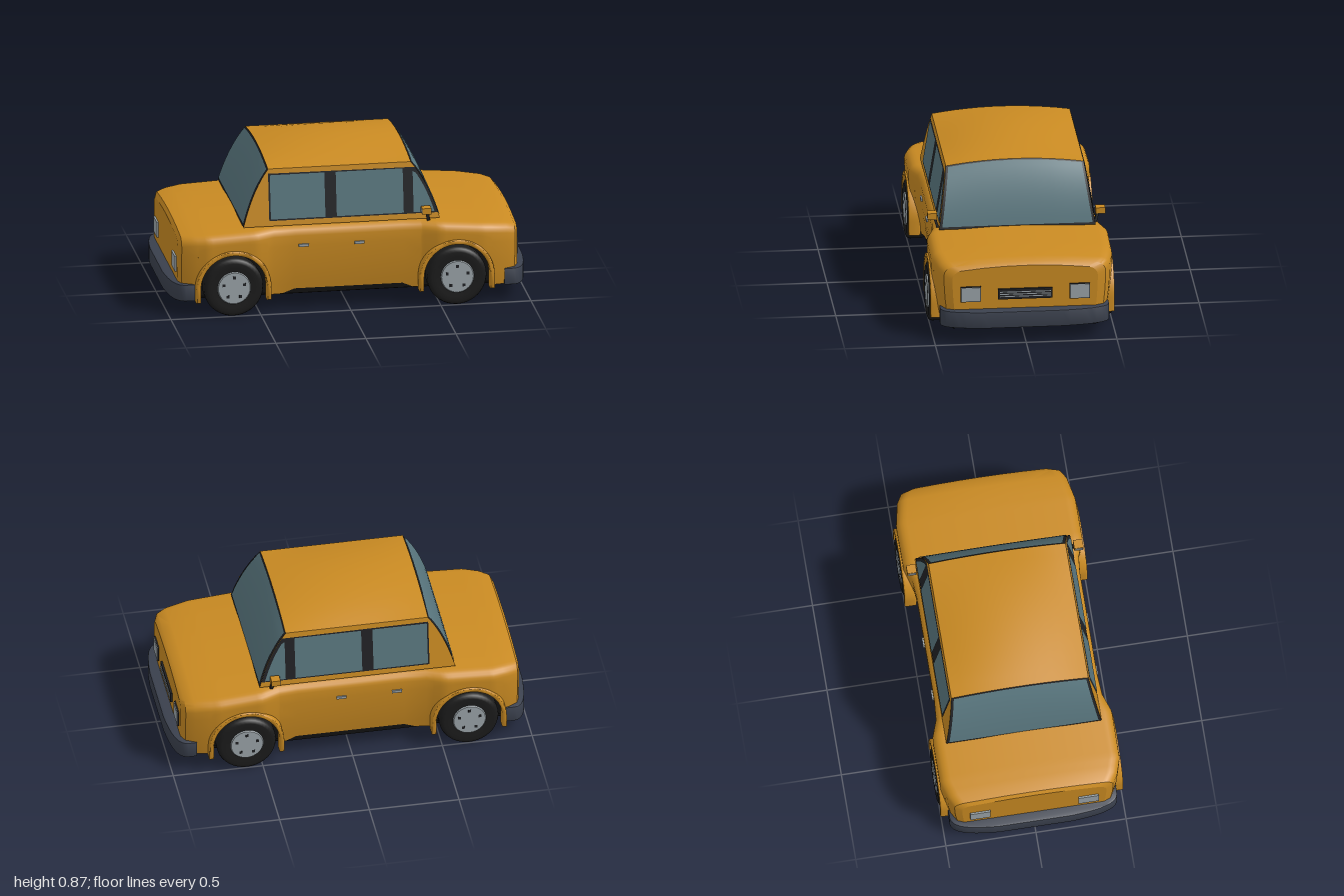
import * as THREE from 'three';
import { toCreasedNormals } from 'three/addons/utils/BufferGeometryUtils.js';

const mat = (name, color, side = THREE.FrontSide) => {
  const m = new THREE.MeshStandardMaterial({ color, side });
  m.name = name;
  return m;
};
const paint = mat('paint', 0xc98a22, THREE.DoubleSide);
const glass = mat('glass', 0x58757d, THREE.DoubleSide);
const trim = mat('trim', 0x202124, THREE.DoubleSide);
const rubber = mat('rubber', 0x1b1b1b);
const under = mat('underside', 0x101010);
const bumperGrey = mat('bumperGrey', 0x3b414e);
const silver = mat('silver', 0x9aa3a8);

const lerp = THREE.MathUtils.lerp;
const WHEELS = [-0.65, 0.59], HUB_Y = 0.165, ARCH = 0.195, FLOOR = 0.09;

// Surface through the points f(i, j)
function grid(f, ni, nj, crease = 0.6) {
  const pos = [], idx = [];
  for (let i = 0; i <= ni; i++) for (let j = 0; j <= nj; j++) pos.push(...f(i, j));
  for (let i = 0; i < ni; i++) for (let j = 0; j < nj; j++) {
    const a = i * (nj + 1) + j, b = a + nj + 1;
    idx.push(a, b, a + 1, b, b + 1, a + 1);
  }
  const g = new THREE.BufferGeometry();
  g.setAttribute('position', new THREE.Float32BufferAttribute(pos, 3));
  g.setIndex(idx);
  return toCreasedNormals(g, crease);
}

// Body stations: x, half width, top height
const STATIONS = [
  [-0.945, 0.40, 0.445], [-0.93, 0.44, 0.465], [-0.88, 0.47, 0.475], [-0.79, 0.498, 0.482],
  [-0.52, 0.498, 0.495], [-0.42, 0.462, 0.5], [-0.3, 0.453, 0.5], [0.3, 0.453, 0.5],
  [0.4, 0.462, 0.5], [0.5, 0.498, 0.495], [0.74, 0.498, 0.475], [0.87, 0.472, 0.46],
  [0.92, 0.445, 0.448], [0.94, 0.40, 0.43]];

function station(x) {
  let k = 0;
  while (k < STATIONS.length - 2 && x > STATIONS[k + 1][0]) k++;
  const [a, b] = [STATIONS[k], STATIONS[k + 1]];
  const t = (x - a[0]) / (b[0] - a[0]);
  return [lerp(a[1], b[1], t), lerp(a[2], b[2], t)];
}

// Half cross-section from the sill up to the centre line
function halfSection(x, bottom) {
  const [w, top] = station(x), sh = top - 0.07, pts = [];
  for (let k = 0; k <= 6; k++) {
    const y = lerp(bottom, sh, k / 6);
    pts.push([x, y, w - 0.03 * ((sh - y) / 0.3) ** 2]);
  }
  for (let k = 1; k <= 5; k++) {
    const a = k / 5 * Math.PI / 2;
    pts.push([x, sh + 0.05 * Math.sin(a), w - 0.06 * (1 - Math.cos(a))]);
  }
  for (const t of [0.66, 0.33, 0]) pts.push([x, top - 0.02 * t * t, (w - 0.06) * t]);
  return pts;
}

// Cabin: side wall lean and end curves (x, y)
const wall = y => lerp(0.43, 0.38, (y - 0.49) / 0.31);
const endCurve = (x0, xc, x1) => new THREE.QuadraticBezierCurve(
  new THREE.Vector2(x0, 0.485), new THREE.Vector2(xc, 0.70), new THREE.Vector2(x1, 0.83));
const FRONT = endCurve(0.505, 0.45, 0.35), REAR = endCurve(-0.585, -0.53, -0.44);
const edge = (c, s, u = 1) => {
  const p = c.getPoint(s);
  return [p.x, p.y - 0.03 * u * u * s];
};
// Cabin edge points between two heights, upwards
function edgeBetween(c, y0, y1, dx = 0) {
  const out = [];
  for (let s = 0; s <= 1.001; s += 0.02) {
    const [x, y] = edge(c, Math.min(s, 1));
    if (y >= y0 && y <= y1) out.push([x + dx, y]);
  }
  return out;
}
function leaningPanel(points, side, off) {
  const g = new THREE.ShapeGeometry(new THREE.Shape(points.map(p => new THREE.Vector2(...p))));
  const p = g.attributes.position;
  for (let i = 0; i < p.count; i++) p.setZ(i, side * (wall(p.getY(i)) + off));
  g.computeVertexNormals();
  return g;
}

export function createModel() {
  const car = new THREE.Group();
  car.name = 'car';
  const add = (name, geo, m, x = 0, y = 0, z = 0, parent = car) => {
    const mesh = new THREE.Mesh(geo, m);
    mesh.name = name;
    mesh.position.set(x, y, z);
    parent.add(mesh);
    return mesh;
  };
  const box = (name, m, sx, sy, sz, x, y, z, parent) =>
    add(name, new THREE.BoxGeometry(sx, sy, sz), m, x, y, z, parent);

  // Lower body, lofted along x with the wheel arches cut into its lower edge
  const cuts = STATIONS.map(s => [s[0], FLOOR]).filter(([x]) => WHEELS.every(c => Math.abs(x - c) > ARCH));
  for (const c of WHEELS) {
    cuts.push([c - ARCH, FLOOR]);
    for (let k = 0; k <= 20; k++) {
      const a = Math.PI * (1 - k / 20);
      cuts.push([c + ARCH * Math.cos(a), HUB_Y + ARCH * Math.sin(a)]);
    }
    cuts.push([c + ARCH, FLOOR]);
  }
  cuts.sort((a, b) => a[0] - b[0] || 0);
  const loops = cuts.map(([x, b]) => {
    const h = halfSection(x, b);
    return [...h, ...h.slice(0, -1).reverse().map(([px, y, z]) => [px, y, -z])];
  });
  add('body', grid((i, j) => loops[i][j], loops.length - 1, loops[0].length - 1), paint);
  for (const [name, x] of [['tailPanel', -0.945], ['nosePanel', 0.94]]) {
    const h = halfSection(x, FLOOR);
    add(name, grid((i, j) => [x, h[i][1], h[i][2] * (j ? -1 : 1)], h.length - 1, 1), paint);
  }

  // Underside with wheel wells
  const well = new THREE.Shape();
  well.moveTo(-0.88, FLOOR);
  for (const c of WHEELS) {
    well.lineTo(c - ARCH, FLOOR);
    well.absarc(c, HUB_Y, ARCH, Math.PI, 0, true);
    well.lineTo(c + ARCH, FLOOR);
  }
  well.lineTo(0.88, FLOOR).lineTo(0.88, 0.4).lineTo(-0.88, 0.4);
  add('wheelWells', new THREE.ExtrudeGeometry(well, { depth: 0.84, bevelEnabled: false, curveSegments: 20 }), under, 0, 0, -0.42);
  box('floorPan', under, 1.86, 0.2, 0.77, 0, 0.187, 0);

  // Cabin ends: dark frame with a glass pane
  for (const [name, c, d] of [['windscreen', FRONT, 1], ['rearWindow', REAR, -1]]) {
    const pane = (u0, s0, s1, off) => grid((i, j) => {
      const s = lerp(s0, s1, i / 10), u = j / 4 - 1;
      const [x, y] = edge(c, s, u);
      return [x + d * off, y + off * 0.5, u * u0 * wall(y)];
    }, 10, 8);
    add(name + 'Frame', pane(1, 0, 1, 0), trim);
    add(name, pane(0.965, 0.03, 0.975, 0.004), glass);
  }
  // Crowned roof
  add('roof', grid((i, j) => {
    const x = lerp(-0.442, 0.352, i / 12), u = j / 6 - 1;
    const mid = 0.83 + 0.035 * (1 - (i / 6 - 1) ** 2);
    return [x, lerp(mid, 0.8, u * u), u * wall(0.8)];
  }, 12, 12), paint);

  const lip = new THREE.Shape();
  lip.moveTo(-0.205, FLOOR - HUB_Y).lineTo(-0.205, 0).absarc(0, 0, 0.205, Math.PI, 0, true);
  lip.lineTo(0.205, FLOOR - HUB_Y).lineTo(0.187, FLOOR - HUB_Y).lineTo(0.187, 0);
  lip.absarc(0, 0, 0.187, 0, Math.PI, false).lineTo(-0.187, FLOOR - HUB_Y);
  const lipGeo = toCreasedNormals(new THREE.ExtrudeGeometry(lip,
    { depth: 0.05, bevelSize: 0.004, bevelThickness: 0.008, bevelSegments: 2, curveSegments: 20 }), 0.7);
  const tyreGeo = new THREE.LatheGeometry([[0.01, -0.055], [0.14, -0.055], [0.158, -0.047], [0.165, -0.03],
    [0.165, 0.03], [0.158, 0.047], [0.14, 0.055], [0.115, 0.05], [0.01, 0.045]].map(p => new THREE.Vector2(...p)), 40);

  for (const side of [1, -1]) {
    const p = side > 0 ? 'left' : 'right';
    // Side wall, window surround and panes
    const wallPts = [...edgeBetween(FRONT, 0, 1), ...edgeBetween(REAR, 0, 1).reverse()];
    add(p + 'CabinSide', leaningPanel(wallPts, side, 0), paint);
    const surround = [[-0.442, 0.515], ...edgeBetween(FRONT, 0.512, 0.776), [-0.442, 0.775]];
    add(p + 'WindowSurround', leaningPanel(surround, side, 0.003), trim);
    for (const [name, x0, x1] of [['RearSideWindow', -0.433, -0.13], ['FrontSideWindow', -0.067, 0.305]])
      add(p + name, leaningPanel([[x0, 0.524], [x1, 0.524], [x1, 0.767], [x0, 0.767]], side, 0.006), glass);
    const quarter = [[0.36, 0.524], ...edgeBetween(FRONT, 0.52, 0.745, -0.018), [0.36, 0.75]];
    add(p + 'QuarterWindow', leaningPanel(quarter, side, 0.006), glass);

    // Door handles
    for (const x of [-0.255, 0.055])
      box(p + 'DoorHandle', silver, 0.055, 0.015, 0.012, x, 0.375, side * 0.455);

    // Door mirror
    const mirror = new THREE.Group();
    mirror.name = p + 'Mirror';
    car.add(mirror);
    box('mirrorHousing', paint, 0.05, 0.034, 0.052, 0.424, 0.543, side * 0.463, mirror);
    box('mirrorGlass', silver, 0.004, 0.024, 0.042, 0.398, 0.543, side * 0.463, mirror);
    const arm = box('mirrorArm', trim, 0.018, 0.06, 0.014, 0.436, 0.505, side * 0.442, mirror);
    arm.rotation.set(side * 0.28, 0, 0.2);

    // Wheels and arch lips
    WHEELS.forEach((x, k) => {
      const where = p + (k ? 'Front' : 'Rear');
      add(where + 'ArchLip', lipGeo, paint, x, HUB_Y, side * 0.474 - 0.025);
      const wheel = new THREE.Group();
      wheel.name = where + 'Wheel';
      wheel.position.set(x, HUB_Y, side * 0.455);
      if (side < 0) wheel.rotation.y = Math.PI;
      car.add(wheel);
      add('tyre', tyreGeo, rubber, 0, 0, 0, wheel).rotation.x = Math.PI / 2;
      add('hubcap', new THREE.CylinderGeometry(0.088, 0.097, 0.014, 32), silver, 0, 0, 0.049, wheel).rotation.x = Math.PI / 2;
      for (let n = 0; n < 5; n++) {
        const a = Math.PI / 2 + n * Math.PI * 0.4;
        box('hubcapHole', trim, 0.016, 0.016, 0.005, 0.06 * Math.cos(a), 0.06 * Math.sin(a), 0.055, wheel);
      }
    });

    // Lamps at both ends
    box(p + 'HeadlampRim', trim, 0.012, 0.088, 0.114, 0.942, 0.272, side * 0.3);
    box(p + 'Headlamp', silver, 0.018, 0.08, 0.106, 0.943, 0.272, side * 0.3);
    box(p + 'TailLamp', silver, 0.018, 0.085, 0.112, -0.946, 0.272, side * 0.3);
  }

  // Grille with bars
  box('grille', trim, 0.018, 0.06, 0.3, 0.942, 0.268, 0);
  for (const y of [0.255, 0.268, 0.281]) box('grilleBar', silver, 0.006, 0.005, 0.28, 0.951, y, 0);

  // Wraparound bumpers
  const b = new THREE.Shape();
  b.moveTo(0.865, -0.46).lineTo(0.91, -0.46);
  b.bezierCurveTo(0.965, -0.455, 0.985, -0.36, 0.995, -0.2);
  b.lineTo(0.995, 0.2);
  b.bezierCurveTo(0.985, 0.36, 0.965, 0.455, 0.91, 0.46);
  b.lineTo(0.865, 0.46);
  const bumperGeo = toCreasedNormals(new THREE.ExtrudeGeometry(b,
    { depth: 0.083, bevelSize: 0.005, bevelThickness: 0.006, bevelSegments: 2, curveSegments: 10 }), 0.6);
  bumperGeo.rotateX(Math.PI / 2);
  add('frontBumper', bumperGeo, bumperGrey, 0, 0.177, 0);
  add('rearBumper', bumperGeo, bumperGrey, 0, 0.177, 0).rotation.y = Math.PI;
  box('bumperUnderside', under, 1.92, 0.006, 0.8, 0, 0.085, 0);
  return car;
}
